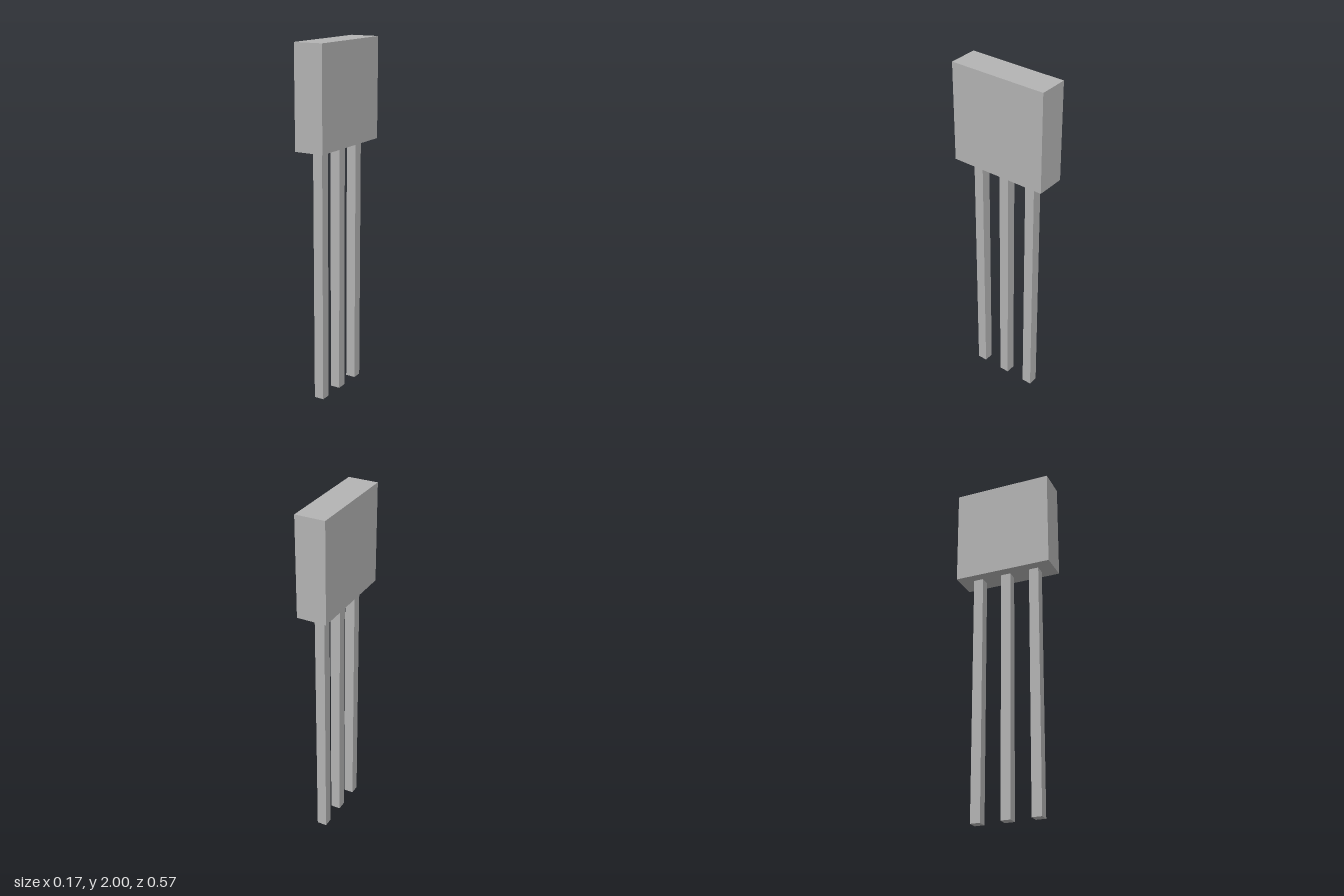
import * as THREE from 'three';

export function createModel() {
  const group = new THREE.Group();
  const grey = new THREE.MeshStandardMaterial({ color: 0xb3b3b3 });
  grey.name = 'light grey';

  // Box standing on a given height
  const addBox = (name, width, height, depth, bottom, z) => {
    const mesh = new THREE.Mesh(new THREE.BoxGeometry(width, height, depth), grey);
    mesh.name = name;
    mesh.position.set(0, bottom + height / 2, z);
    group.add(mesh);
  };

  // Flat rectangular body
  const bodyBottom = 1.432;
  addBox('body', 0.17, 2 - bodyBottom, 0.57, bodyBottom, 0);

  // Three square leads in a row below the body
  const leadSize = 0.057;
  const pitch = 0.172;
  ['backLead', 'middleLead', 'frontLead'].forEach((name, i) => {
    addBox(name, leadSize, bodyBottom, leadSize, 0, (i - 1) * pitch);
  });

  return group;
}
